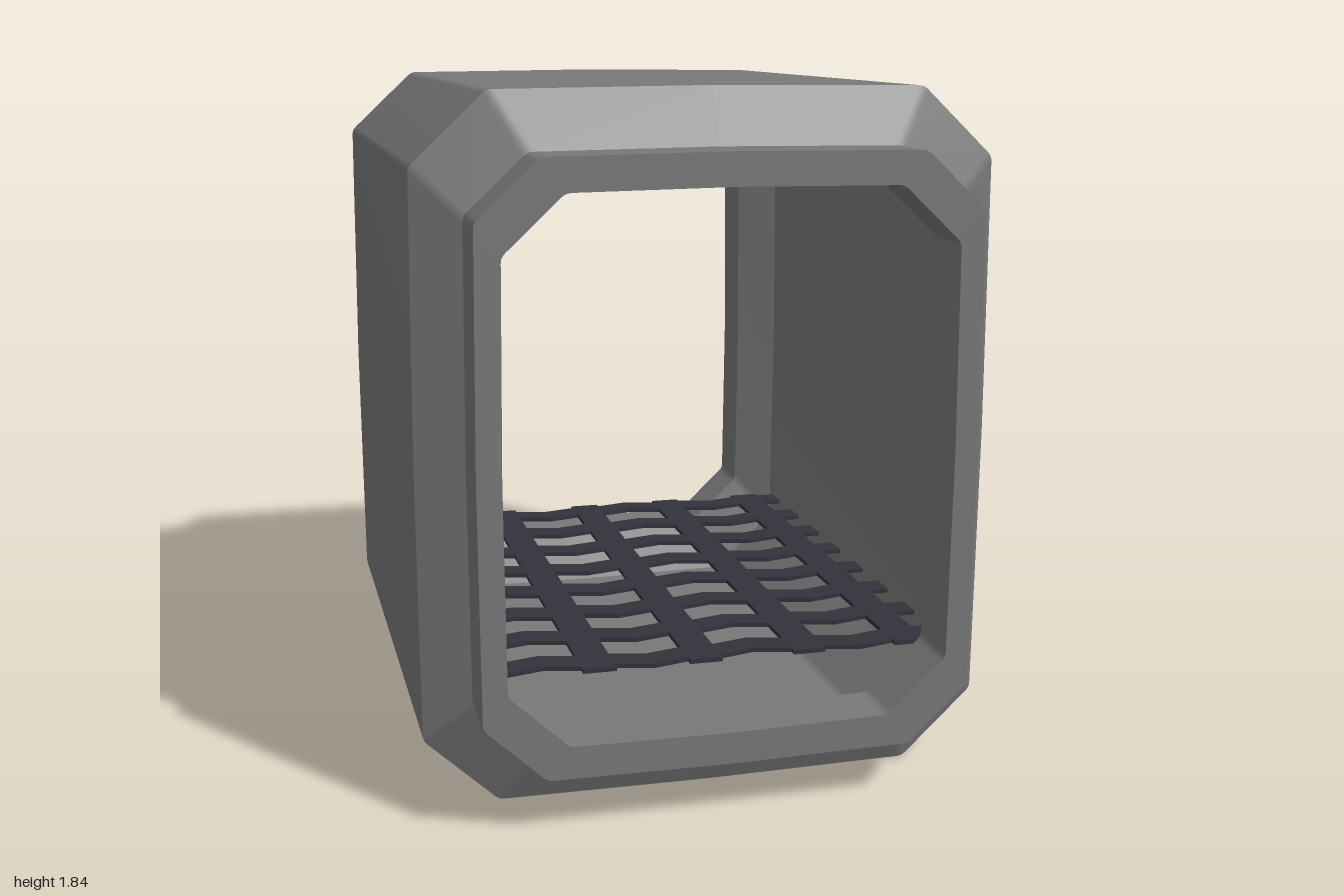
import * as THREE from 'three';
import { toCreasedNormals } from 'three/addons/utils/BufferGeometryUtils.js';

const MID_Y = 0.92;

// Chamfered rectangle, counter-clockwise, with eased corners and slightly bowed sides
function ringPoints(w, h, c, bow = 0.005, ease = 0.014) {
  const cy = c * 0.94;
  const corners = [
    [w - bow, -h + cy], [w - bow, h - cy], [w - c, h - bow], [-w + c, h - bow],
    [-w + bow, h - cy], [-w + bow, -h + cy], [-w + c, -h + bow], [w - c, -h + bow],
  ].map(([x, y]) => new THREE.Vector2(x, y));
  const bowed = { 0: [w, 0], 2: [0, h], 4: [-w, 0], 6: [0, -h] };
  const pts = [];
  corners.forEach((p, i) => {
    const toward = (q, d) => q.clone().sub(p).setLength(d).add(p);
    const prev = corners[(i + 7) % 8], next = corners[(i + 1) % 8];
    const curve = new THREE.QuadraticBezierCurve(toward(prev, ease), p, toward(next, ease));
    // The outer pair of points keeps the flats evenly shaded
    pts.push(toward(prev, ease * 1.5), ...curve.getPoints(3), toward(next, ease * 1.5));
    if (bowed[i]) pts.push(new THREE.Vector2(...bowed[i]));
  });
  return pts;
}

// Closed skin through a cycle of rings [z, halfWidth, halfHeight, chamfer]
function shellGeometry(sections) {
  const rings = sections.map(([z, w, h, c]) =>
    ringPoints(w, h, c).map((p) => [p.x, p.y + MID_Y, z]));
  const n = rings[0].length, pos = [], index = [];
  rings.forEach((r) => r.forEach((p) => pos.push(...p)));
  for (let i = 0; i < rings.length; i++) {
    const k = (i + 1) % rings.length;
    for (let j = 0; j < n; j++) {
      const m = (j + 1) % n;
      const a = i * n + j, b = i * n + m, c = k * n + j, d = k * n + m;
      index.push(a, c, b, b, c, d);
    }
  }
  const g = new THREE.BufferGeometry();
  g.setAttribute('position', new THREE.Float32BufferAttribute(pos, 3));
  g.setIndex(index);
  return toCreasedNormals(g, 0.45);
}

// Thin plate lying flat, outlined in x and z
function plate(points, material, name) {
  const shape = new THREE.Shape(points.map(([x, z]) => new THREE.Vector2(x, -z)));
  const g = new THREE.ExtrudeGeometry(shape, { depth: 0.012, bevelEnabled: false });
  g.rotateX(-Math.PI / 2);
  const mesh = new THREE.Mesh(g, material);
  mesh.position.y = 0.328;
  mesh.name = name;
  return mesh;
}

export function createModel() {
  const model = new THREE.Group();
  model.name = 'corridorSegment';
  const grey = new THREE.MeshStandardMaterial({ color: 0x787878 });
  const dark = new THREE.MeshStandardMaterial({ color: 0x32323c });

  // Hollow hull: collars at both ends, tapered shoulders, wider middle inside and out
  const collar = [0.643, 0.774, 0.165];
  const body = [0.763, 0.92, 0.2];
  const opening = [0.58, 0.69, 0.16];
  const chamber = [0.69, 0.85, 0.2];
  const outside = [[1, ...collar], [0.835, ...collar], [0.765, ...body]];
  const inside = [[1, ...opening], [0.84, ...opening], [0.77, ...chamber]];
  const mirror = (list) => list.map(([z, ...s]) => [-z, ...s]);
  const hull = new THREE.Mesh(shellGeometry([
    ...outside, ...mirror(outside).reverse(),
    ...mirror(inside), ...[...inside].reverse(),
  ]), grey);
  hull.name = 'hull';
  model.add(hull);

  // Floor grating: long runners joined by kinked slats
  const grating = new THREE.Group();
  grating.name = 'floorGrating';
  const pitch = 0.29, half = 0.76, w = 0.045, t = 0.04;
  for (let i = -2; i <= 2; i++) {
    const x = i * pitch;
    grating.add(plate([[x - w, -half], [x - w, half], [x + w, half], [x + w, -half]],
      dark, 'gratingRunner'));
  }
  const slats = 8, step = 0.2;
  for (let k = 0; k < slats; k++) {
    const z = (k - (slats - 1) / 2) * step;
    for (let i = -2; i < 2; i++) {
      const x0 = i * pitch + w, x1 = (i + 1) * pitch - w, xm = (x0 + x1) / 2;
      const kink = i % 2 ? 0.025 : -0.025;
      grating.add(plate([[x0, z - t], [x0, z + t], [xm, z + t + kink], [x1, z + t],
        [x1, z - t], [xm, z - t + kink]], dark, 'gratingSlat'));
    }
    // Short tabs reaching the side walls
    for (const s of [-1, 1]) {
      const a = s * (2 * pitch + w), b = s * 0.688;
      const tab = [[a, z - t], [a, z + t], [b, z + t], [b, z - t]];
      grating.add(plate(tab, dark, 'gratingTab'));
    }
  }
  model.add(grating);
  return model;
}
